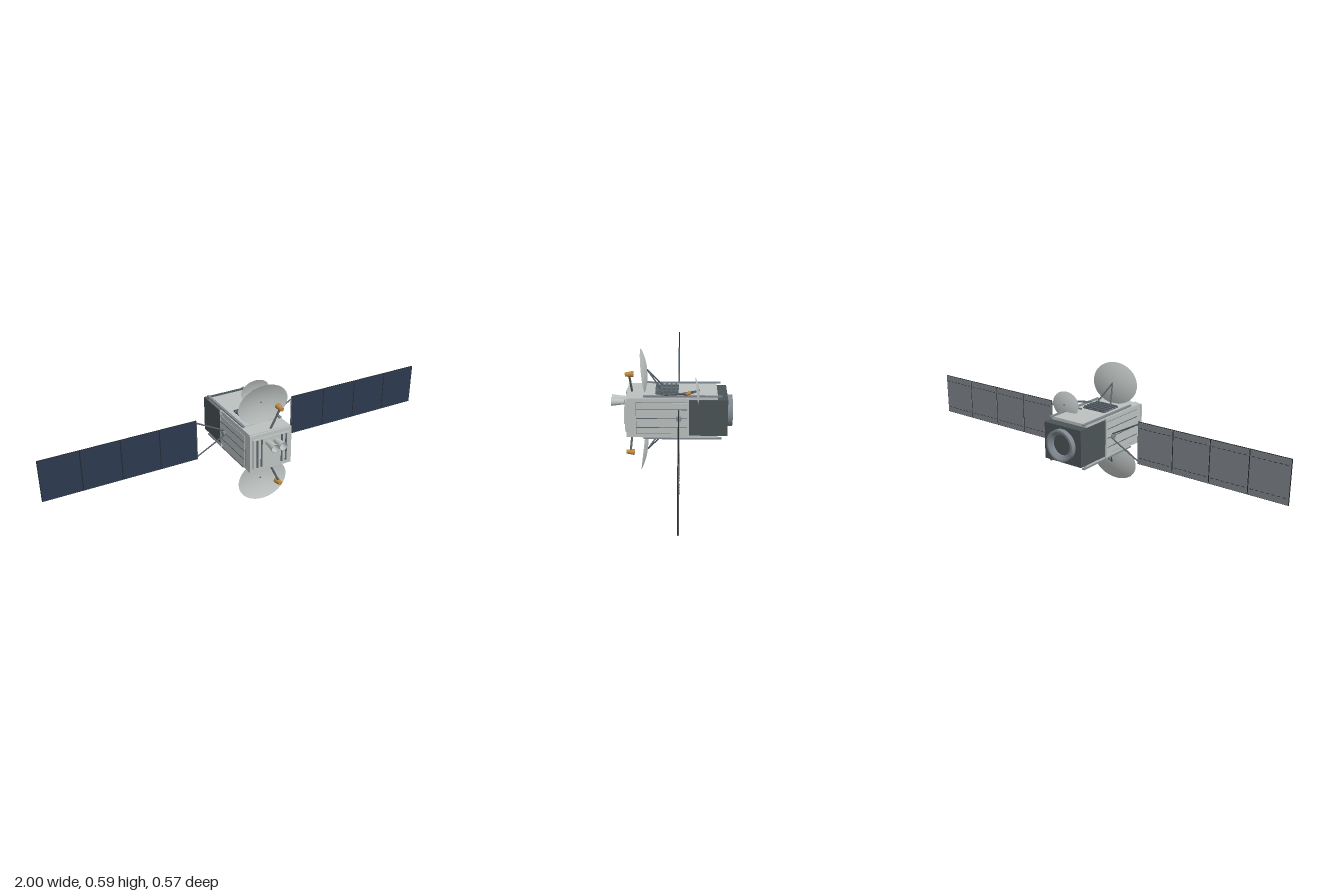
import * as THREE from 'three';

const mat = (name, color, extra = {}) => {
  const m = new THREE.MeshStandardMaterial({ color, ...extra });
  m.name = name;
  return m;
};

export function createModel() {
  const silver = mat('silver', 0xbcc1c0);
  const dishSilver = mat('dish silver', 0xbcc1c0, { side: THREE.DoubleSide });
  const dark = mat('dark grey', 0x4b5457);
  const steel = mat('steel', 0x7f8890, { side: THREE.DoubleSide });
  const strutGrey = mat('strut grey', 0x596269);
  const gold = mat('gold', 0xbb8a42);
  const navy = mat('solar navy', 0x2c3a4f);
  const panelGrey = mat('panel back grey', 0x7d8489);
  const black = mat('near black', 0x23282c);

  const CY = 0.305; // height of the long axis
  const root = new THREE.Group();
  root.name = 'satellite';
  const V = (x, y, z) => new THREE.Vector3(x, y, z);

  const add = (name, geo, m, x = 0, y = 0, z = 0, parent = root) => {
    const mesh = new THREE.Mesh(geo, m);
    mesh.name = name;
    mesh.position.set(x, y, z);
    parent.add(mesh);
    return mesh;
  };
  // box given by its limits on each axis
  const box = (name, m, x0, x1, y0, y1, z0, z1, parent = root) =>
    add(name, new THREE.BoxGeometry(x1 - x0, y1 - y0, z1 - z0), m,
      (x0 + x1) / 2, (y0 + y1) / 2, (z0 + z1) / 2, parent);
  // round bar from a to b; ra and rb are the end radii
  const rod = (name, m, a, b, ra, rb = ra, sides = 10) => {
    const d = b.clone().sub(a);
    const mesh = add(name, new THREE.CylinderGeometry(rb, ra, d.length(), sides), m);
    mesh.position.copy(a).addScaledVector(d, 0.5);
    mesh.quaternion.setFromUnitVectors(V(0, 1, 0), d.normalize());
    return mesh;
  };

  // main body
  box('body', silver, -0.105, 0.105, 0.208, 0.402, -0.08, 0.2);
  box('frontFrame', silver, -0.108, 0.108, 0.211, 0.399, 0.2, 0.21);
  box('frontPlate', silver, -0.095, 0.095, 0.23, 0.38, 0.21, 0.217);
  box('bodyCollar', silver, -0.111, 0.111, 0.208, 0.402, -0.08, -0.071);
  box('rearModule', dark, -0.105, 0.105, 0.217, 0.393, -0.26, -0.08);

  // slats and twin thrusters on the front
  for (const x of [-0.075, -0.053, 0.053, 0.075])
    box('frontSlat', strutGrey, x - 0.004, x + 0.004, 0.235, 0.375, 0.217, 0.22);
  for (const x of [-0.021, 0.021]) {
    const profile = [[0.0125, 0], [0.0155, 0.03], [0.0205, 0.068], [0.0185, 0.068], [0.013, 0.03], [0, 0.02]];
    const geo = new THREE.LatheGeometry(profile.map(p => new THREE.Vector2(...p)), 24);
    geo.rotateX(Math.PI / 2);
    add('thruster', geo, dishSilver, x, 0.354, 0.217);
  }

  // rear docking ring with a dark recess
  const ring = [[0.075, 0], [0.075, 0.025], [0.066, 0.025], [0.05, 0.012], [0.05, 0]];
  for (let i = 0; i < ring.length - 1; i++) {
    const geo = new THREE.LatheGeometry([ring[i], ring[i + 1]].map(p => new THREE.Vector2(...p)), 40);
    geo.rotateX(-Math.PI / 2);
    add('rearRing', geo, steel, 0, CY, -0.26);
  }
  const recess = add('rearRecess', new THREE.CircleGeometry(0.05, 32), dark, 0, CY, -0.262);
  recess.rotation.y = Math.PI;

  // left and right side panels with ribs, and the solar wings
  for (const s of [-1, 1]) {
    const side = (name, m, xa, xb, ...rest) =>
      box(name, m, Math.min(s * xa, s * xb), Math.max(s * xa, s * xb), ...rest);
    side('sidePanelEdge', steel, 0.104, 0.109, 0.227, 0.383, -0.07, 0.166);
    side('sidePanel', silver, 0.105, 0.111, 0.229, 0.381, -0.07, 0.164);
    for (const y of [0.26, CY, 0.349])
      side('sideRib', strutGrey, 0.11, 0.113, y - 0.0015, y + 0.0015, -0.07, 0.164);

    const hub = add('wingHub', new THREE.CylinderGeometry(0.0135, 0.0135, 0.02, 8), steel, s * 0.112, CY, -0.033);
    hub.rotation.z = Math.PI / 2;
    for (const k of [-1, 1])
      rod('wingStrut', strutGrey, V(s * 0.112, CY + k * 0.012, -0.033), V(s * 0.258, CY + k * 0.09, -0.033), 0.0035);
    rod('wingYoke', strutGrey, V(s * 0.257, CY - 0.1, -0.033), V(s * 0.257, CY + 0.1, -0.033), 0.003);

    side('wingCore', black, 0.256, 1, 0.203, 0.407, -0.035, -0.031);
    const step = 0.744 / 4;
    for (let i = 0; i < 4; i++) {
      const a = 0.256 + i * step + 0.0025, b = a + step - 0.005;
      side('solarCells', navy, a, b, 0.205, 0.405, -0.031, -0.0295);
      side('solarBack', panelGrey, a, b, 0.205, 0.405, -0.0365, -0.035);
      for (const y of [CY - 0.072, CY + 0.072])
        for (let j = 0; j < 7; j++) {
          const x = a + 0.008 + j * 0.0245;
          side('backDash', black, x, x + 0.014, y - 0.0012, y + 0.0012, -0.0372, -0.0365);
        }
    }
  }

  // shallow elliptical dish opening towards +z
  const dish = (name, rx, ry, depth, x, y, z, tilt) => {
    const pts = [];
    for (let i = 0; i <= 10; i++) pts.push(new THREE.Vector2(i / 10, depth * (i / 10) ** 2));
    const geo = new THREE.LatheGeometry(pts, 48);
    geo.rotateX(Math.PI / 2);
    geo.scale(rx, ry, 1);
    const m = add(name, geo, dishSilver, x, y, z);
    m.rotation.x = tilt;
    add(name + 'Boss', new THREE.SphereGeometry(0.004, 12, 8), strutGrey, x, y, z);
  };

  // top and bottom decks, mirrored about the long axis
  for (const s of [-1, 1]) {
    const Y = h => CY + s * h;
    const deck = (name, m, x0, x1, ha, hb, z0, z1) =>
      box(name, m, x0, x1, Math.min(Y(ha), Y(hb)), Math.max(Y(ha), Y(hb)), z0, z1);
    deck('deckPlate', silver, -0.1, 0.1, 0.087, 0.102, -0.213, 0.12);
    for (const x of [-0.096, 0.096])
      deck('deckRail', steel, x - 0.006, x + 0.006, 0.101, 0.108, -0.233, 0.131);

    // vent with crossing bars
    deck('ventBase', dark, -0.063, 0.063, 0.102, 0.105, -0.032, 0.077);
    for (let i = 0; i < 5; i++) {
      const z = -0.02 + i * 0.0217;
      deck('ventBar', strutGrey, -0.063, 0.063, 0.105, 0.113, z - 0.0045, z + 0.0045);
    }
    for (const x of [-0.061, -0.02, 0.02, 0.061])
      deck('ventSpacer', steel, x - 0.002, x + 0.002, 0.105, 0.108, -0.032, 0.077);

    // large dish, its rear struts and its feed horn
    dish('mainDish', 0.128, 0.1, 0.02, 0, Y(0.2), 0.116, s * 0.115);
    for (const x of [-0.045, 0.045])
      rod('dishStrut', strutGrey, V(0, Y(0.201), 0.115), V(x, Y(0.104), 0.038), 0.0035);
    rod('feedMast', strutGrey, V(0.008, Y(0.09), 0.186), V(0.052, Y(0.188), 0.196), 0.005);
    rod('feedHorn', gold, V(0.052, Y(0.197), 0.177), V(0.052, Y(0.194), 0.216), 0.0145, 0.0095, 20);
  }

  // small dish on the top deck
  dish('smallDish', 0.077, 0.061, 0.011, 0.1, 0.44, -0.126, 0.115);
  for (const x of [0.055, 0.095])
    rod('smallDishStrut', strutGrey, V(0.1, 0.439, -0.126), V(x, 0.409, -0.052), 0.0035);
  rod('smallFeedMast', strutGrey, V(0.085, 0.41, 0.06), V(0.133, 0.436, -0.067), 0.0045);
  rod('smallFeedHorn', gold, V(0.133, 0.438, -0.087), V(0.133, 0.435, -0.064), 0.0085, 0.0055, 16);

  return root;
}
